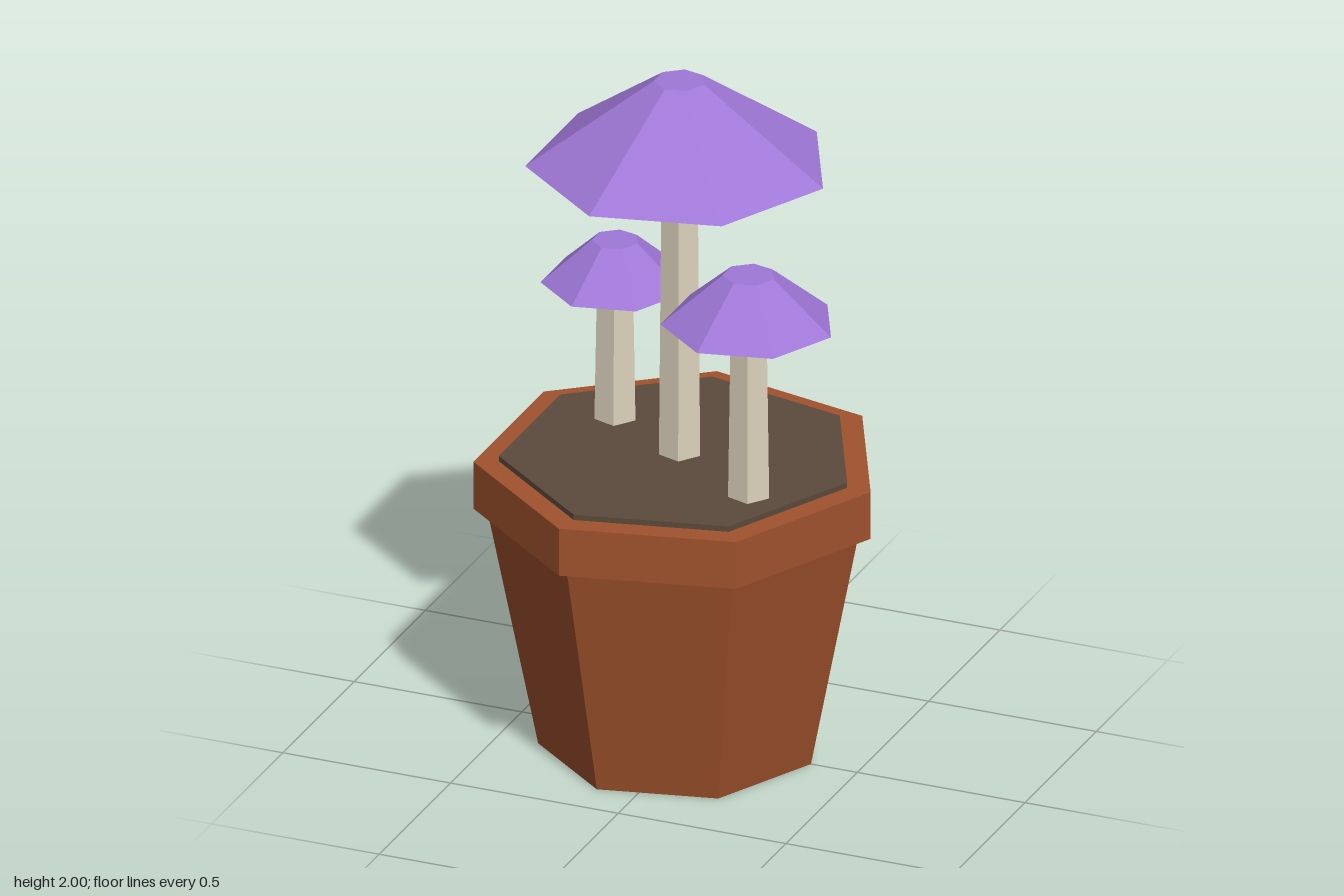
import * as THREE from 'three';

const mat = (name, color) => {
  const m = new THREE.MeshStandardMaterial({ color, flatShading: true });
  m.name = name;
  return m;
};

export function createModel() {
  const terracotta = mat('terracotta', 0xa0522d);
  const earth = mat('earth', 0x5c4a3c);
  const cream = mat('cream', 0xddd2bc);
  const purple = mat('purple', 0xa078d8);

  const model = new THREE.Group();
  model.name = 'pottedMushrooms';

  // Faceted, closed frustum with one corner pointing to +x
  const frustum = (parent, name, material, sides, rTop, rBottom, y0, y1, x, z) => {
    const geo = new THREE.CylinderGeometry(rTop, rBottom, y1 - y0, sides, 1, false, Math.PI / 2);
    const mesh = new THREE.Mesh(geo, material);
    mesh.name = name;
    mesh.position.set(x, (y0 + y1) / 2, z);
    parent.add(mesh);
  };

  // Seven-sided pot, its rim and the soil standing slightly proud of it
  const cx = -0.028;
  frustum(model, 'potBody', terracotta, 7, 0.532, 0.39, 0, 0.72, cx, 0);
  frustum(model, 'potRim', terracotta, 7, 0.568, 0.568, 0.715, 0.857, cx, 0);
  frustum(model, 'soil', earth, 7, 0.498, 0.498, 0.8, 0.873, cx, 0);

  // Mushrooms: five-sided stem under a seven-sided cap
  const mushrooms = [
    { name: 'tallMushroom', x: cx, z: 0, base: 1.75, top: 2.0, r: 0.426, rTop: 0.072 },
    { name: 'leftMushroom', x: 0.254, z: 0.179, base: 1.395, top: 1.54, r: 0.244, rTop: 0.073 },
    { name: 'rightMushroom', x: -0.281, z: -0.142, base: 1.285, top: 1.41, r: 0.206, rTop: 0.066 },
  ];
  for (const m of mushrooms) {
    const group = new THREE.Group();
    group.name = m.name;
    frustum(group, 'stem', cream, 5, 0.052, 0.06, 0.85, m.base + 0.01, m.x, m.z);
    frustum(group, 'cap', purple, 7, m.rTop, m.r, m.base, m.top, m.x, m.z);
    model.add(group);
  }

  return model;
}
